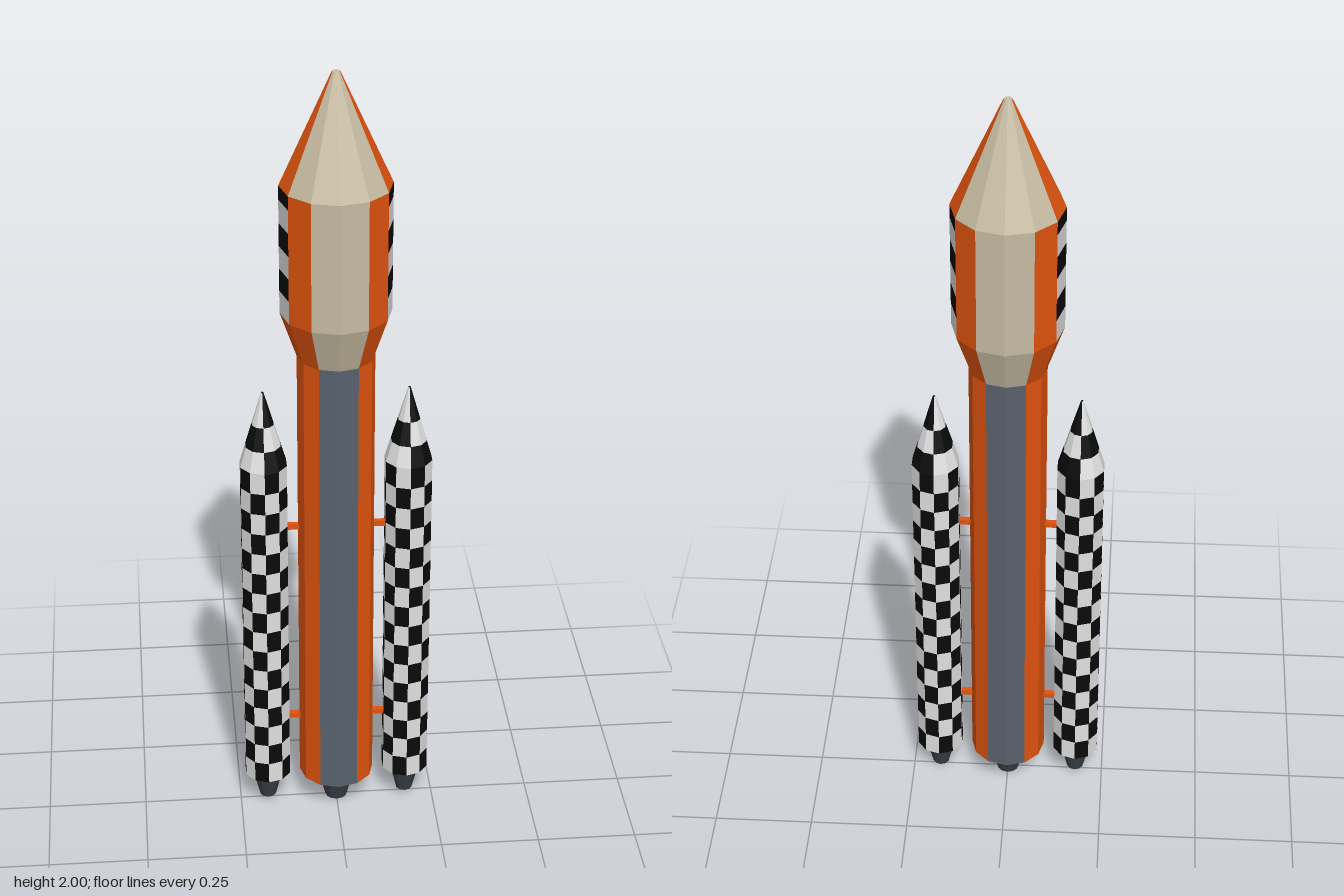
import * as THREE from 'three';
import { mergeGeometries } from 'three/addons/utils/BufferGeometryUtils.js';

const paint = (name, color) => {
  const m = new THREE.MeshStandardMaterial({ color, flatShading: true });
  m.name = name;
  return m;
};

export function createModel() {
  const orange = paint('orange', 0xe2540f);
  const beige = paint('beige', 0xc6bba2);
  const slate = paint('slate grey', 0x58616c);
  const dark = paint('dark metal', 0x3a4048);
  const white = paint('white', 0xe0e0e0);
  const black = paint('black', 0x0a0a0a);

  const rocket = new THREE.Group();
  rocket.name = 'rocket';

  const add = (parent, name, geometry, material) => {
    const mesh = new THREE.Mesh(geometry, material);
    mesh.name = name;
    parent.add(mesh);
    return mesh;
  };

  // Open wall of n facets, angles in degrees measured from +z towards +x
  const wall = (y0, r0, y1, r1, start, span, n) => {
    const rad = THREE.MathUtils.degToRad;
    return new THREE.CylinderGeometry(r1, r0, y1 - y0, n, 1, true, rad(start), rad(span))
      .translate(0, (y0 + y1) / 2, 0);
  };
  // Level disc facing up or down
  const disc = (r, y, n, up) =>
    new THREE.CircleGeometry(r, n, Math.PI / 2).rotateX(up ? -Math.PI / 2 : Math.PI / 2).translate(0, y, 0);
  const frustum = (y0, r0, y1, r1, n) =>
    new THREE.CylinderGeometry(r1, r0, y1 - y0, n).translate(0, (y0 + y1) / 2, 0);

  // Twelve-sided centre stage; each half turn repeats the colour scheme
  const R = 0.095, F = 0.135;
  for (const [turn, side] of [[0, 'front'], [180, 'back']]) {
    add(rocket, side + 'BodyPanel', wall(0.085, R, 1.285, R, turn - 30, 60, 2), slate);
    add(rocket, side + 'BodySide', wall(0.085, R, 1.285, R, turn + 30, 120, 4), orange);
    add(rocket, side + 'FlarePanel', wall(1.285, R, 1.4, F, turn - 30, 60, 2), beige);
    add(rocket, side + 'FlareSide', wall(1.285, R, 1.4, F, turn + 30, 120, 4), orange);
    add(rocket, side + 'FairingPanel', wall(1.4, F, 1.725, F, turn - 30, 60, 2), beige);
    for (const a of [30, 120])
      add(rocket, side + 'FairingEdge', wall(1.4, F, 1.725, F, turn + a, 30, 1), orange);
    add(rocket, side + 'NosePanel', wall(1.725, F, 2, 0.01, turn - 60, 120, 4), beige);
    add(rocket, side + 'NoseSide', wall(1.725, F, 2, 0.01, turn + 60, 60, 2), orange);

    // Horizontal stripes on the sides of the fairing
    const levels = [1.4, 1.458, 1.515, 1.573, 1.631, 1.69, 1.725];
    for (let i = 0; i < 6; i++)
      add(rocket, 'fairingStripe', wall(levels[i], F, levels[i + 1], F, turn + 60, 60, 2), i % 2 ? black : white);
  }
  add(rocket, 'noseTip', disc(0.01, 2, 12, true), beige);
  add(rocket, 'bodyBase', disc(R, 0.085, 12, false), dark);
  add(rocket, 'mainNozzle', frustum(0, 0.028, 0.085, 0.052, 12), dark);

  // Ten-sided boosters with a chequered skin, one cell per facet
  const B = 0.06, rows = 16, y0 = 0.085, y1 = 0.995;
  const noseLevels = [0.995, 1.047, 1.105, 1.19];
  const noseRadius = (y) => B * (1.19 - y) / (1.19 - y1) + 0.003 * (y - y1) / (1.19 - y1);

  for (const s of [-1, 1]) {
    const booster = new THREE.Group();
    booster.name = s > 0 ? 'leftBooster' : 'rightBooster';
    booster.position.x = s * 0.179;
    rocket.add(booster);

    const cells = [[], []];
    const h = (y1 - y0) / rows;
    for (let row = 0; row < rows; row++)
      for (let f = 0; f < 10; f++)
        cells[(row + f) % 2].push(wall(y0 + row * h, B, y0 + (row + 1) * h, B, f * 36, 36, 1));
    // Nose bands swap colour between the two halves
    for (let i = 0; i < 3; i++)
      for (let half = 0; half < 2; half++) {
        const a = noseLevels[i], b = noseLevels[i + 1];
        cells[(i + half + 1) % 2].push(wall(a, noseRadius(a), b, noseRadius(b), half * 180, 180, 5));
      }
    add(booster, 'whiteChecks', mergeGeometries(cells[0]), white);
    add(booster, 'blackChecks', mergeGeometries(cells[1]), black);
    add(booster, 'boosterTip', disc(0.003, 1.19, 10, true), black);
    add(booster, 'boosterBase', disc(B, y0, 10, false), dark);
    add(booster, 'boosterNozzle', frustum(0.012, 0.021, y0, 0.039, 10), dark);

    // Struts joining the booster to the centre stage
    for (const y of [0.255, 0.815])
      add(rocket, 'strut', new THREE.BoxGeometry(0.05, 0.014, 0.014).translate(s * 0.11, y, 0), orange);
  }
  return rocket;
}
